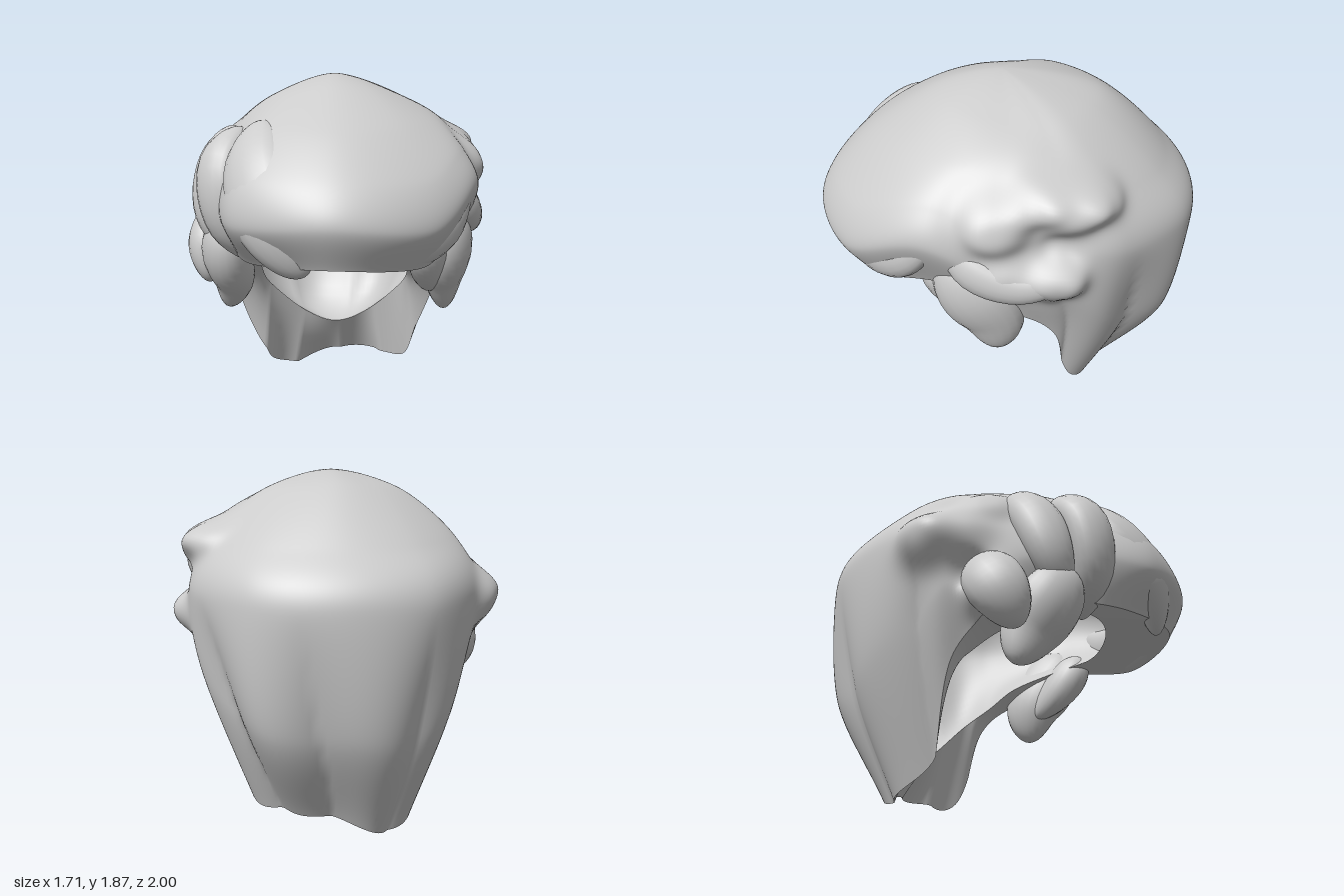
import * as THREE from 'three';
import { mergeVertices } from 'three/addons/utils/BufferGeometryUtils.js';

const V = (x, y, z) => new THREE.Vector3(x, y, z);
const material = new THREE.MeshStandardMaterial({ color: 0xcccccc, side: THREE.DoubleSide });

// Meridians around the head, in degrees from the front towards +x
const ANGLES = [0, 30, 60, 90, 110, 128, 155, 180, 205, 232, 250, 270, 300, 330];
// Radius, height from crown to hem on each meridian
const MERIDIANS = [
  [0.35, 1.80, 0.70, 1.58, 0.92, 1.36, 1.00, 1.18, 0.91, 0.98],
  [0.35, 1.79, 0.65, 1.60, 0.88, 1.36, 0.95, 1.15, 0.84, 0.95],
  [0.35, 1.77, 0.60, 1.63, 0.76, 1.48, 0.84, 1.30, 0.70, 1.00],
  [0.35, 1.76, 0.60, 1.61, 0.72, 1.30, 0.73, 1.05, 0.66, 0.84],
  [0.38, 1.76, 0.65, 1.57, 0.80, 1.27, 0.76, 0.95, 0.64, 0.64],
  [0.42, 1.76, 0.74, 1.51, 0.88, 1.24, 0.78, 0.75, 0.56, 0.15],
  [0.45, 1.76, 0.81, 1.47, 0.98, 1.21, 0.88, 0.60, 0.58, 0.11],
  [0.47, 1.77, 0.82, 1.47, 1.00, 1.20, 0.89, 0.57, 0.60, 0.09],
  [0.45, 1.76, 0.81, 1.47, 0.98, 1.21, 0.88, 0.55, 0.63, 0.00],
  [0.42, 1.76, 0.74, 1.51, 0.88, 1.24, 0.78, 0.75, 0.56, 0.15],
  [0.38, 1.75, 0.62, 1.56, 0.80, 1.25, 0.76, 0.95, 0.64, 0.64],
  [0.35, 1.75, 0.56, 1.57, 0.70, 1.28, 0.73, 1.05, 0.66, 0.84],
  [0.35, 1.76, 0.56, 1.59, 0.66, 1.38, 0.70, 1.18, 0.62, 0.94],
  [0.35, 1.78, 0.66, 1.59, 0.87, 1.36, 0.91, 1.15, 0.76, 0.95],
];
// Radius, height of the inner lip on each meridian, front to back
const LIP = [[0.55, 1.0], [0.55, 0.98], [0.5, 0.96], [0.42, 0.85], [0.46, 0.73], [0.5, 0.6], [0.47, 0.4], [0.42, 0.33]];
// Curls raised out of (or grooves pressed into) the hair: centre, radius, height
const BUMPS = [
  [0.66, 1.55, -0.42, 0.13, 0.08], [0.70, 1.53, -0.25, 0.15, 0.12], [0.68, 1.54, -0.08, 0.11, 0.06],
  [0.70, 1.42, 0.08, 0.15, 0.11], [0.74, 1.28, -0.22, 0.10, -0.04],
  [0.74, 1.12, 0.02, 0.13, 0.08], [0.77, 1.12, -0.2, 0.13, 0.10],
  [-0.72, 1.28, -0.2, 0.16, 0.06], [-0.77, 1.2, -0.36, 0.15, 0.08],
  [-0.62, 1.48, -0.05, 0.13, 0.05], [-0.74, 1.02, -0.12, 0.09, -0.05], [-0.73, 0.9, -0.02, 0.13, 0.1],
];
const CROWN = V(0, 1.87, 0.03);

const ring = (points) => new THREE.CatmullRomCurve3(points.map(([r, y], i) => {
  const a = THREE.MathUtils.degToRad(ANGLES[i]);
  return V(r * Math.sin(a), y, r * Math.cos(a));
}), true, 'catmullrom', 0.5);
const RINGS = [0, 1, 2, 3, 4].map((k) => ring(MERIDIANS.map((m) => [m[2 * k], m[2 * k + 1]])));
const LIP_RING = ring(ANGLES.map((_, i) => LIP[Math.min(i, 14 - i)]));

// Smooth profile from crown to hem, with folds sweeping towards the nape point
function profile(u) {
  const first = RINGS[0].getPoint(u);
  const points = [V(-first.x, first.y, -first.z), CROWN, ...RINGS.map((r) => r.getPoint(u))];
  const curve = new THREE.CatmullRomCurve3(points, false, 'catmullrom', 0.42);
  const angle = Math.atan2(first.x, first.z);
  const back = THREE.MathUtils.smoothstep(-Math.cos(angle), 0.1, 0.6);
  const around = (angle + 2 * Math.PI) % (2 * Math.PI) - 3.58;
  return (t) => {
    const p = curve.getPoint((1 + 5 * t) / 6);
    const crease = 0.5 - Math.abs(Math.sin(around * 4 * (0.6 + t)));
    const fold = 1 - 0.08 * crease * back * THREE.MathUtils.smoothstep(t, 0.6, 0.8);
    p.x *= fold;
    p.z *= fold;
    return p;
  };
}

// Outer surface: the profile with its curls
function surface(u) {
  const at = profile(u);
  return (t) => {
    const p = at(t), out = V(p.x, 0, p.z).normalize();
    let push = 0;
    for (const [x, y, z, r, h] of BUMPS) push += h * Math.exp(-((p.distanceTo(V(x, y, z)) / r) ** 3));
    return p.addScaledVector(out, push);
  };
}

// Lining: the profile drawn in, turning forward to the lip at its lower edge
function lining(u) {
  const at = profile(u), lip = LIP_RING.getPoint(u);
  return (t) => {
    const p = at(t * 0.88);
    return V(p.x * 0.9, p.y - 0.1 * (1 - t), p.z * 0.9).lerp(lip, t ** 6);
  };
}

// Closed-around surface from a function giving rows of points for each angle
function loft(name, columns, rows, column) {
  const pos = [], index = [];
  for (let i = 0; i < columns; i++) {
    const at = column(i / columns);
    for (let j = 0; j <= rows; j++) pos.push(...at(j / rows).toArray());
  }
  for (let i = 0; i < columns; i++) for (let j = 0; j < rows; j++) {
    const a = i * (rows + 1) + j, b = ((i + 1) % columns) * (rows + 1) + j;
    index.push(a, a + 1, b, b, a + 1, b + 1);
  }
  let geo = new THREE.BufferGeometry();
  geo.setAttribute('position', new THREE.Float32BufferAttribute(pos, 3));
  geo.setIndex(index);
  geo = mergeVertices(geo, 1e-5);
  geo.computeVertexNormals();
  const mesh = new THREE.Mesh(geo, material);
  mesh.name = name;
  return mesh;
}

// Lock of hair: a sphere stretched along a path, flattened against the head
function lock(name, path, width, depth, taper = 0.3) {
  const curve = new THREE.CatmullRomCurve3(path.map((p) => V(...p)));
  let geo = new THREE.SphereGeometry(1, 20, 24);
  geo.deleteAttribute('uv');
  geo.deleteAttribute('normal');
  geo = mergeVertices(geo, 1e-4);
  const pos = geo.attributes.position, s = V();
  for (let i = 0; i < pos.count; i++) {
    s.fromBufferAttribute(pos, i);
    const t = THREE.MathUtils.clamp((1 - s.y) / 2, 0, 1);
    const p = curve.getPoint(t), back = curve.getTangent(t).negate();
    const out = V(p.x, (p.y - 1) * 0.5, p.z);
    out.addScaledVector(back, -out.dot(back)).normalize();
    const side = back.clone().cross(out), k = 1 - taper * t;
    p.addScaledVector(side, s.x * width * k).addScaledVector(out, s.z * depth * k);
    pos.setXYZ(i, p.x, p.y, p.z);
  }
  geo.computeVertexNormals();
  const mesh = new THREE.Mesh(geo, material);
  mesh.name = name;
  return mesh;
}

export function createModel() {
  const group = new THREE.Group();
  group.name = 'hair';

  // Hollow shell with its underside
  group.add(loft('outerHair', 210, 80, surface));
  group.add(loft('innerHair', 140, 40, lining));
  group.add(loft('underside', 210, 6, (u) => {
    const a = surface(u)(1), b = LIP_RING.getPoint(u);
    return (t) => a.clone().lerp(b, t);
  }));

  // Fringe
  group.add(
    lock('fringeLeft', [[0.02, 1.16, 0.84], [0.28, 1.1, 0.77], [0.52, 1.14, 0.58], [0.68, 1.32, 0.38]], 0.16, 0.1, 0.1),
    lock('fringeRight', [[-0.36, 1.62, 0.44], [-0.36, 1.4, 0.64], [-0.28, 1.18, 0.78], [-0.12, 0.93, 0.82]], 0.2, 0.12, 0.1),
  );

  // Left side locks
  group.add(
    lock('leftCrescent', [[0.62, 1.34, 0.3], [0.7, 1.17, 0.2], [0.76, 1.1, -0.02], [0.8, 1.15, -0.26]], 0.12, 0.09, 0.2),
    lock('leftCheekLock', [[0.6, 1.15, 0.32], [0.62, 0.96, 0.2], [0.61, 0.78, 0.1], [0.62, 0.57, 0.07]], 0.23, 0.15, 0.3),
    lock('leftInnerLock', [[0.5, 1.08, 0.42], [0.5, 0.9, 0.3], [0.54, 0.7, 0.12]], 0.14, 0.12),
  );

  // Right side locks
  group.add(
    lock('rightFrontLock', [[-0.46, 1.58, 0.28], [-0.56, 1.4, 0.43], [-0.53, 1.12, 0.47], [-0.38, 0.91, 0.4]], 0.16, 0.13),
    lock('rightMiddleLock', [[-0.53, 1.58, 0.05], [-0.62, 1.38, 0.18], [-0.64, 1.15, 0.26], [-0.55, 0.93, 0.32]], 0.16, 0.13),
    lock('rightLowerCurl', [[-0.66, 1.12, -0.12], [-0.73, 0.92, 0.0], [-0.7, 0.72, 0.1]], 0.18, 0.12),
    lock('rightCheekLock', [[-0.58, 1.1, 0.35], [-0.58, 0.92, 0.25], [-0.56, 0.76, 0.14], [-0.6, 0.58, 0.07]], 0.2, 0.15, 0.3),
  );
  return group;
}
